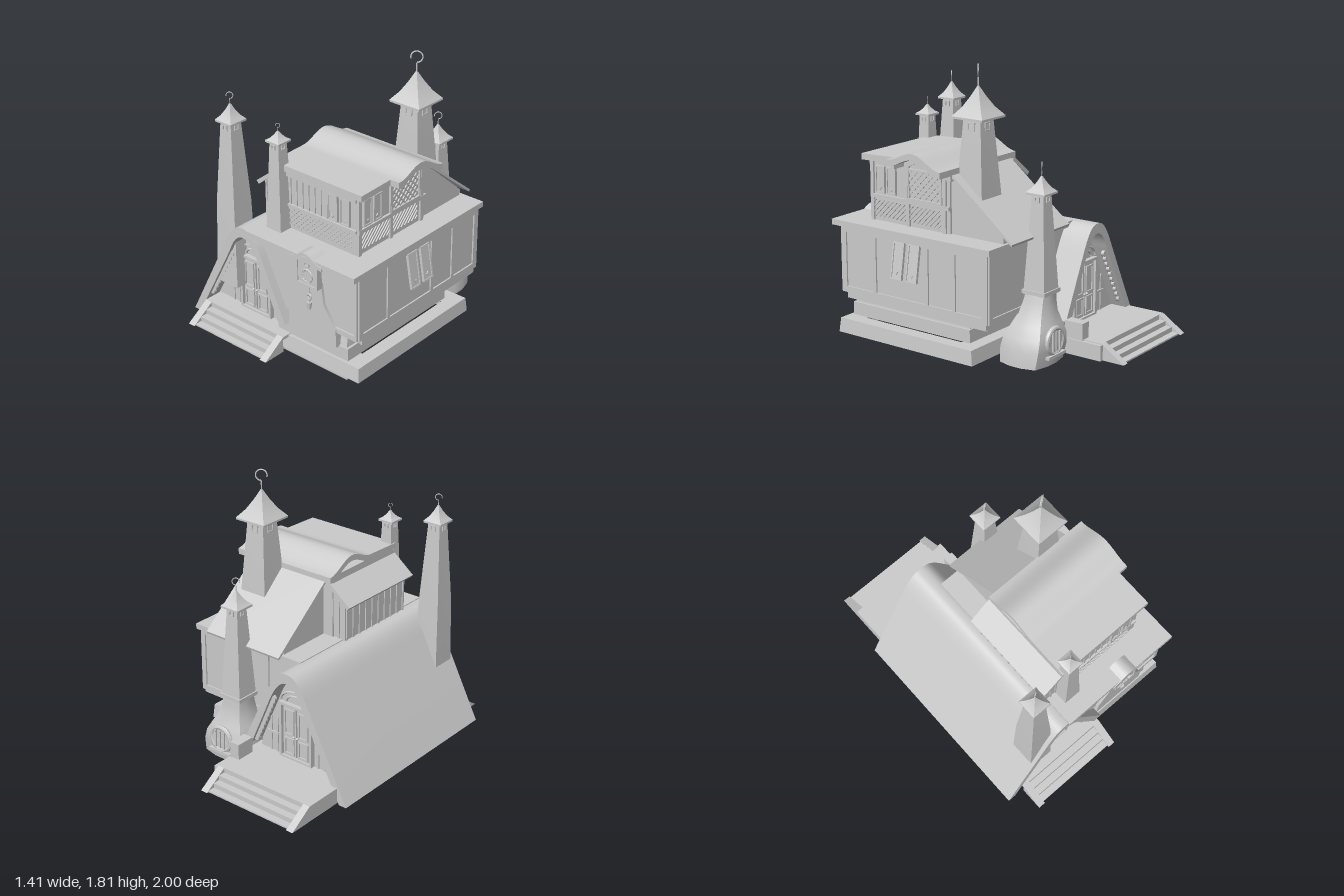
import * as THREE from 'three';
import { toCreasedNormals } from 'three/addons/utils/BufferGeometryUtils.js';

const mat = new THREE.MeshStandardMaterial({ color: 0xcccccc, side: THREE.DoubleSide });

function add(parent, name, geo) {
  const m = new THREE.Mesh(toCreasedNormals(geo, 0.55), mat);
  m.name = name;
  parent.add(m);
  return m;
}
function group(parent, name, x = 0, y = 0, z = 0, ry = 0) {
  const g = new THREE.Group();
  g.name = name;
  g.position.set(x, y, z);
  g.rotation.y = ry;
  parent.add(g);
  return g;
}
// Box given by its limits on each axis
function box(parent, name, x0, x1, y0, y1, z0, z1) {
  return add(parent, name, new THREE.BoxGeometry(x1 - x0, y1 - y0, z1 - z0)
    .translate((x0 + x1) / 2, (y0 + y1) / 2, (z0 + z1) / 2));
}
const polygon = pts => new THREE.Shape(pts.map(p => new THREE.Vector2(...p)));
// Outline in x,y extruded along z
function prismZ(parent, name, shape, z0, z1) {
  return add(parent, name, new THREE.ExtrudeGeometry(shape, { depth: z1 - z0, bevelEnabled: false, curveSegments: 10 })
    .translate(0, 0, z0));
}
// Outline in z,y extruded along x
function prismX(parent, name, pts, x0, x1) {
  return add(parent, name, new THREE.ExtrudeGeometry(polygon(pts.map(([z, y]) => [-z, y])), { depth: x1 - x0, bevelEnabled: false })
    .rotateY(Math.PI / 2).translate(x0, 0, 0));
}
// Rectangular frame standing on z = 0, lower corner at x, y
function frame(parent, name, x, y, w, h, t, d = 0.012) {
  const s = polygon([[x, y], [x + w, y], [x + w, y + h], [x, y + h]]);
  s.holes.push(polygon([[x + t, y + t], [x + t, y + h - t], [x + w - t, y + h - t], [x + w - t, y + t]]));
  return prismZ(parent, name, s, 0, d);
}
// Diagonal slats clipped to a rectangle
function slats(parent, name, x, y, w, h, step, both) {
  for (const dir of both ? [1, -1] : [1]) for (let c = -h + step / 2; c < w; c += step) {
    const a = Math.max(0, -c), b = Math.min(h, w - c), mx = c + (a + b) / 2;
    const m = add(parent, name, new THREE.BoxGeometry((b - a) * 1.414, 0.009, 0.008));
    m.position.set(x + (dir > 0 ? mx : w - mx), y + (a + b) / 2, 0.005);
    m.rotation.z = dir * Math.PI / 4;
  }
}
// Upright battens on a wall facing +z
function battens(parent, x0, x1, y0, y1, n) {
  for (let i = 0; i <= n; i++) {
    const x = x0 + (x1 - x0) * i / n;
    box(parent, 'batten', x - 0.006, x + 0.006, y0, y1, 0, 0.007);
  }
}
const square = pts => new THREE.LatheGeometry(pts.map(([r, y]) => new THREE.Vector2(r * Math.SQRT2, y)), 4, Math.PI / 4);

// Hollow rectangular course, open below; profile is a list of [share of half width, y]
function course(parent, name, x0, x1, z0, z1, profile) {
  return add(parent, name, square(profile).scale((x1 - x0) / 2, 1, (z1 - z0) / 2)
    .translate((x0 + x1) / 2, 0, (z0 + z1) / 2));
}

// Tapered square chimney with a swept cap and an open ring finial
function chimney(root, name, x, z, shaft, cap, capTop, top) {
  const g = group(root, name, x, 0, z), [r, y] = shaft[shaft.length - 1], h = capTop - y;
  add(g, 'shaft', square(shaft));
  add(g, 'cap', square([[0, y], [cap, y - 0.005], [cap, y + 0.008], [cap * 0.62, y + h * 0.32], [cap * 0.3, y + h * 0.66], [0.004, capTop]]));
  for (let i = 0; i < 4; i++) {
    const side = group(g, 'vent', 0, 0, 0, i * Math.PI / 2), s = r * 0.42;
    frame(side, 'ventFrame', -s, y - 2.9 * s, 2 * s, 2 * s, 0.3 * s, 0.008).position.z = r * 1.04;
  }
  const R = (top - capTop) * 0.28, wire = R * 0.12;
  add(g, 'finialStem', new THREE.CylinderGeometry(wire, wire, R * 1.6, 6)).position.y = capTop + R * 0.65;
  const ring = add(g, 'finialRing', new THREE.TorusGeometry(R, wire, 6, 24, Math.PI * 1.6));
  ring.position.y = top - R;
  ring.rotation.set(0, 0.6, -Math.PI / 2);
}

// Double door with arched fanlight
function doubleDoor(root, z, ry) {
  const g = group(root, 'doubleDoor', -0.23, 0, z, ry);
  frame(g, 'doorFrame', -0.13, 0.12, 0.26, 0.39, 0.018, 0.03);
  for (const s of [-1, 1]) {
    const leaf = group(g, 'doorLeaf', s * 0.056);
    box(leaf, 'leaf', -0.05, 0.05, 0.135, 0.485, 0, 0.015);
    for (const [y, h] of [[0.15, 0.12], [0.29, 0.18]]) frame(leaf, 'doorPanel', -0.04, y, 0.08, h, 0.012, 0.024);
    add(leaf, 'doorKnob', new THREE.SphereGeometry(0.009, 10, 8)).position.set(-s * 0.042, 0.29, 0.028);
    battens(g, s * 0.165, s * 0.215, 0.12, 0.37, 1);
    const rail = box(g, 'wallRail', -0.045, 0.045, 0.25, 0.265, 0, 0.012);
    rail.position.x = s * 0.195;
  }
  for (const r of [0.13, 0.085]) {
    const arch = add(g, 'fanlightArch', new THREE.TorusGeometry(r, 0.01, 6, 20, Math.PI));
    arch.position.set(0, 0.52, 0.01);
    arch.scale.y = 0.6;
  }
}

// Open-backed steps set between sloped cheeks, running from z = 0 outward
function stairs(root, x, z, width, ry) {
  const g = group(root, 'stairs', x, 0, z, ry), w = width / 2, reach = y => (0.125 - y) / 0.65;
  for (const s of [-1, 1]) prismX(g, 'cheek', [[0, 0.02], [0.16, 0.02], [0, 0.125]], s > 0 ? w - 0.05 : -w, s > 0 ? w : 0.05 - w);
  for (const y of [0.03, 0.0617, 0.0933, 0.125]) {
    const d = reach(y);
    box(g, 'riser', 0.05 - w, w - 0.05, Math.max(0.02, y - 0.0317), y, d - 0.005, d);
    if (y < 0.12) box(g, 'tread', 0.05 - w, w - 0.05, y - 0.006, y, reach(y + 0.0317), d);
  }
}

function shutter(parent, x, y, w, h, heart) {
  const g = group(parent, 'shutter', x, y, 0);
  box(g, 'shutterBoard', -w / 2, w / 2, -h, 0, 0, 0.012);
  frame(g, 'shutterFrame', -w / 2, -h, w, h, 0.01, 0.018);
  const mark = add(g, 'shutterMotif', new THREE.CylinderGeometry(0.014, 0.014, 0.02, heart ? 3 : 4));
  mark.rotation.x = Math.PI / 2;
  mark.position.set(0, -h * 0.82, 0.008);
  return g;
}

export function createModel() {
  const root = new THREE.Group();
  root.name = 'gabledHouse';

  // Porches with stairs at both ends
  box(root, 'rearPorch', -0.63, 0.11, 0.02, 0.125, -0.84, -0.43);
  box(root, 'frontPorch', -0.58, 0.1, 0.105, 0.125, 0.66, 0.84);
  stairs(root, -0.24, 0.84, 0.68, 0);
  stairs(root, -0.26, -0.84, 0.74, Math.PI);
  box(root, 'porchCurb', 0.11, 0.135, 0.02, 0.12, -0.85, -0.58);
  box(root, 'porchBlock', 0.055, 0.125, 0.12, 0.23, -0.71, -0.58);

  // Hollow stepped plinth
  course(root, 'footing', -0.03, 0.58, -0.24, 0.79, [[1, 0], [1, 0.03]]);
  course(root, 'plinth', -0.02, 0.68, -0.28, 0.8, [[1, 0.025], [0.98, 0.12], [0.72, 0.12]]);
  course(root, 'lowerCourse', 0, 0.57, -0.18, 0.77, [[1, 0.12], [1, 0.205], [0.9, 0.205]]);
  course(root, 'lowerWall', 0.02, 0.555, -0.17, 0.76, [[1, 0.2], [0.96, 0.3]]);

  // Steep roof with rounded ridge, hollow inside, closed by two gable walls
  const outer = s => s.lineTo(-0.375, 0.64).bezierCurveTo(-0.31, 0.765, -0.27, 0.77, -0.23, 0.77).bezierCurveTo(-0.19, 0.77, -0.15, 0.765, -0.08, 0.62);
  const inner = s => s.lineTo(-0.1, 0.565).bezierCurveTo(-0.15, 0.67, -0.19, 0.705, -0.23, 0.705).bezierCurveTo(-0.27, 0.705, -0.31, 0.67, -0.35, 0.57);
  const roof = outer(new THREE.Shape().moveTo(-0.7, 0.012));
  inner(roof.lineTo(0.112, 0.215).lineTo(0.06, 0.195)).lineTo(-0.645, 0.012);
  prismZ(root, 'steepRoof', roof, -0.58, 0.83);
  for (const z of [-0.47, 0.68])
    prismZ(root, 'gableWall', inner(new THREE.Shape().moveTo(-0.6, 0.1).lineTo(0.08, 0.1).lineTo(0.06, 0.195)), z, z + 0.03);
  for (const [z, ry] of [[0.71, 0], [-0.47, Math.PI]]) doubleDoor(root, z, ry);
  // Scalloped trim under both gable ends
  for (const z of [0.80, -0.55]) for (let i = 0; i < 10; i++) for (const [x0, y0, x1, y1] of [[-0.36, 0.54, -0.55, 0.19], [-0.10, 0.55, 0.04, 0.23]]) {
    const t = i / 9, c = add(root, 'scallop', new THREE.CylinderGeometry(0.022, 0.022, 0.02, 12));
    c.rotation.x = Math.PI / 2;
    c.position.set(x0 + (x1 - x0) * t, y0 + (y1 - y0) * t, z);
  }

  // Main storey, cut along the steep roof
  prismZ(root, 'mainStorey', polygon([[0.05, 0.3], [0.655, 0.3], [0.655, 0.76], [-0.2, 0.76], [-0.14, 0.69], [-0.09, 0.59]]), -0.385, 0.775);
  box(root, 'terrace', -0.2, 0.68, 0.735, 0.772, -0.41, 0.84);
  for (const x of [0.575, 0.635]) box(root, 'floorBeam', x, x + 0.02, 0.26, 0.3, -0.36, 0.74);
  for (let i = 0; i < 4; i++) box(root, 'joist', 0.12, 0.655, 0.265, 0.3, -0.37 + i * 0.055, -0.345 + i * 0.055);
  for (const z of [-0.3, -0.2]) box(root, 'rearBeam', 0.1, 0.55, 0.215, 0.265, z, z + 0.03);
  const side = group(root, 'sideTimbers', 0.655, 0, 0, Math.PI / 2);
  frame(side, 'timberFrame', -0.775, 0.3, 1.16, 0.44, 0.04, 0.01);
  for (const x of [-0.5, -0.08, 0.13]) box(side, 'post', x - 0.012, x + 0.012, 0.33, 0.71, 0, 0.01);
  for (const x of [-0.29, -0.17]) shutter(side, x, 0.705, 0.088, 0.235, x < -0.2).rotation.x = -0.16;
  const rear = group(root, 'rearTimbers', 0, 0, -0.385, Math.PI);
  frame(rear, 'timberFrame', -0.655, 0.3, 0.58, 0.44, 0.035, 0.01);
  const front = group(root, 'frontTimbers', 0, 0, 0.775);
  box(front, 'beam', -0.1, 0.655, 0.7, 0.735, 0, 0.012);
  box(front, 'beam', 0.47, 0.655, 0.3, 0.335, 0, 0.012);
  box(front, 'post', 0.63, 0.655, 0.335, 0.7, 0, 0.012);

  // Flared pier carrying the clock
  prismZ(root, 'pier', polygon([[0.11, 0.2], [0.5, 0.2], [0.495, 0.32], [0.4, 0.46], [0.38, 0.6], [0.22, 0.6], [0.205, 0.46], [0.115, 0.32]]), 0.66, 0.795);
  const clock = group(root, 'clock', 0.3, 0, 0.79);
  box(clock, 'clockCase', -0.082, 0.082, 0.575, 0.765, 0, 0.035);
  frame(clock, 'clockTrim', -0.085, 0.57, 0.17, 0.2, 0.012, 0.042);
  const hood = new THREE.Shape().moveTo(-0.13, 0.745).bezierCurveTo(-0.06, 0.745, -0.05, 0.8, 0, 0.8).bezierCurveTo(0.05, 0.8, 0.06, 0.745, 0.13, 0.745)
    .lineTo(0.13, 0.77).bezierCurveTo(0.06, 0.775, 0.05, 0.82, 0, 0.82).bezierCurveTo(-0.05, 0.82, -0.06, 0.775, -0.13, 0.77);
  prismZ(clock, 'clockHood', hood, -0.06, 0.055).position.y = -0.02;
  add(clock, 'dial', new THREE.TorusGeometry(0.042, 0.005, 6, 28)).position.set(0, 0.64, 0.037);
  for (let i = 0; i < 12; i++) add(clock, 'hourMark', new THREE.BoxGeometry(0.006, 0.006, 0.008))
    .position.set(0.033 * Math.cos(i * Math.PI / 6), 0.64 + 0.033 * Math.sin(i * Math.PI / 6), 0.037);
  frame(clock, 'clockDoor', -0.02, 0.705, 0.04, 0.055, 0.008, 0.045);
  box(clock, 'pendulumRod', -0.004, 0.004, 0.42, 0.575, 0.015, 0.022);
  add(clock, 'pendulumBob', new THREE.TorusGeometry(0.016, 0.006, 6, 16)).position.set(0, 0.49, 0.02);
  add(clock, 'weight', new THREE.CylinderGeometry(0.017, 0.01, 0.05, 10)).position.set(0, 0.425, 0.02);

  // Upper storey with wave roof
  box(root, 'upperStorey', -0.12, 0.525, 0.76, 1.185, 0, 0.63);
  const wave = [[0.66, 1.205], [0.4, 1.212]];
  for (let i = 1; i <= 16; i++) {
    const t = i / 16;
    wave.push([0.4 - 0.42 * t, 1.212 - 0.03 * t + 0.072 * Math.sin(Math.PI * t) ** 2]);
  }
  const band = pts => [...pts, ...pts.map(([z, y]) => [z, y - 0.04]).reverse()];
  prismX(root, 'waveRoof', band(wave.slice(1)), -0.12, 0.65);
  prismX(root, 'frontRoof', band(wave.slice(0, 2)), -0.12, 0.585);
  prismX(root, 'roofFascia', band(wave.slice(1)).map(([z, y]) => [z, y - 0.035]), 0.5, 0.545);
  for (const z of [0.02, 0.36]) box(root, 'roofBeamEnd', 0.52, 0.64, 1.155, 1.18, z - 0.015, z + 0.015);
  const upFront = group(root, 'upperFrontTrim', 0, 0, 0.63);
  box(upFront, 'rail', -0.12, 0.525, 0.925, 0.945, 0, 0.016);
  box(upFront, 'rail', -0.12, 0.525, 1.13, 1.16, 0, 0.016);
  slats(upFront, 'braceSlat', -0.02, 0.8, 0.5, 0.12, 0.034, false);
  battens(upFront, -0.1, 0.29, 0.945, 1.13, 8);
  for (const x of [0.345, 0.44]) shutter(upFront, x, 1.13, 0.075, 0.175, x < 0.4);
  const upSide = group(root, 'upperSideTrim', 0.525, 0, 0, Math.PI / 2);
  box(upSide, 'rail', -0.63, 0, 0.92, 0.945, 0, 0.016);
  for (const x of [-0.63, -0.34, -0.05]) box(upSide, 'post', x, x + 0.025, 0.77, 1.17, 0, 0.014);
  slats(upSide, 'braceSlat', -0.61, 0.8, 0.54, 0.11, 0.034, false);
  slats(upSide, 'windowLattice', -0.32, 0.955, 0.25, 0.175, 0.045, true);
  frame(upSide, 'windowFrame', -0.335, 0.945, 0.28, 0.2, 0.012, 0.016);
  for (const x of [-0.55, -0.46]) shutter(upSide, x, 1.13, 0.075, 0.175, x < -0.5);

  // Lean-to on the left-hand side above the steep roof
  prismZ(root, 'leanTo', polygon([[-0.22, 0.68], [-0.1, 0.68], [-0.1, 1.13], [-0.22, 1.04]]), 0.01, 0.62);
  prismZ(root, 'leanToRoof', polygon([[-0.272, 1.02], [-0.255, 1.0], [-0.1, 1.125], [-0.1, 1.155]]), -0.02, 0.65);
  battens(group(root, 'leanToBattens', -0.22, 0, 0, -Math.PI / 2), 0.02, 0.61, 0.7, 1.03, 9);
  battens(group(root, 'leanToEndBattens', 0, 0, 0.01, Math.PI), 0.12, 0.215, 0.7, 1.03, 2);
  battens(group(root, 'leanToEndBattens', 0, 0, 0.62), -0.215, -0.13, 0.7, 1.03, 2);

  // Rear sloping roof
  prismX(root, 'rearGable', [[0.02, 0.76], [0.02, 1.15], [0, 1.15], [-0.39, 0.81], [-0.39, 0.76]], -0.05, 0.51);
  prismX(root, 'rearRoof', [[0.01, 1.15], [0.01, 1.17], [-0.47, 0.785], [-0.465, 0.77]], -0.075, 0.53);

  // Chimneys
  chimney(root, 'frontChimney', -0.405, 0.72, [[0.088, 0.3], [0.075, 0.87], [0.043, 1.41]], 0.067, 1.52, 1.595);
  chimney(root, 'smallChimney', -0.07, 0.66, [[0.06, 0.76], [0.036, 1.355]], 0.055, 1.42, 1.47);
  chimney(root, 'tallChimney', 0.37, -0.1, [[0.103, 0.85], [0.1, 0.99], [0.064, 1.49]], 0.116, 1.68, 1.81);
  chimney(root, 'ovenChimney', 0.25, -0.485, [[0.078, 0.42], [0.042, 1.05]], 0.07, 1.155, 1.24);

  // Flared oven below the rear chimney, its round plan pushed towards a square
  const oven = new THREE.LatheGeometry([[0.158, 0], [0.168, 0.1], [0.16, 0.17], [0.13, 0.24], [0.1, 0.31], [0.086, 0.38], [0.08, 0.43]]
    .map(([r, y]) => new THREE.Vector2(r, y)), 12, Math.PI / 12);
  const p = oven.attributes.position;
  for (let i = 0; i < p.count; i++) {
    const x = p.getX(i), z = p.getZ(i), t = p.getY(i) / 0.43;
    const f = Math.sqrt(Math.hypot(x, z) / Math.max(Math.abs(x), Math.abs(z)));
    p.setXYZ(i, x * f * (1.12 - 0.12 * t) + 0.305 - 0.055 * t, p.getY(i), z * f - 0.455 - 0.03 * t);
  }
  add(root, 'ovenBody', oven);
  box(root, 'ovenCollar', 0.165, 0.335, 0.425, 0.45, -0.57, -0.4);
  const mouth = group(root, 'ovenMouth', 0.29, 0.15, -0.615, Math.PI);
  add(mouth, 'mouthRing', new THREE.TorusGeometry(0.08, 0.016, 8, 24));
  add(mouth, 'mouthDoor', new THREE.CylinderGeometry(0.08, 0.08, 0.02, 24).rotateX(Math.PI / 2));
  for (const x of [-0.035, 0, 0.035]) box(mouth, 'mouthBar', x - 0.005, x + 0.005, -0.06, 0.06, 0, 0.02);
  box(mouth, 'mouthShelf', -0.09, 0.09, -0.1, -0.08, -0.02, 0.025);

  return root;
}
